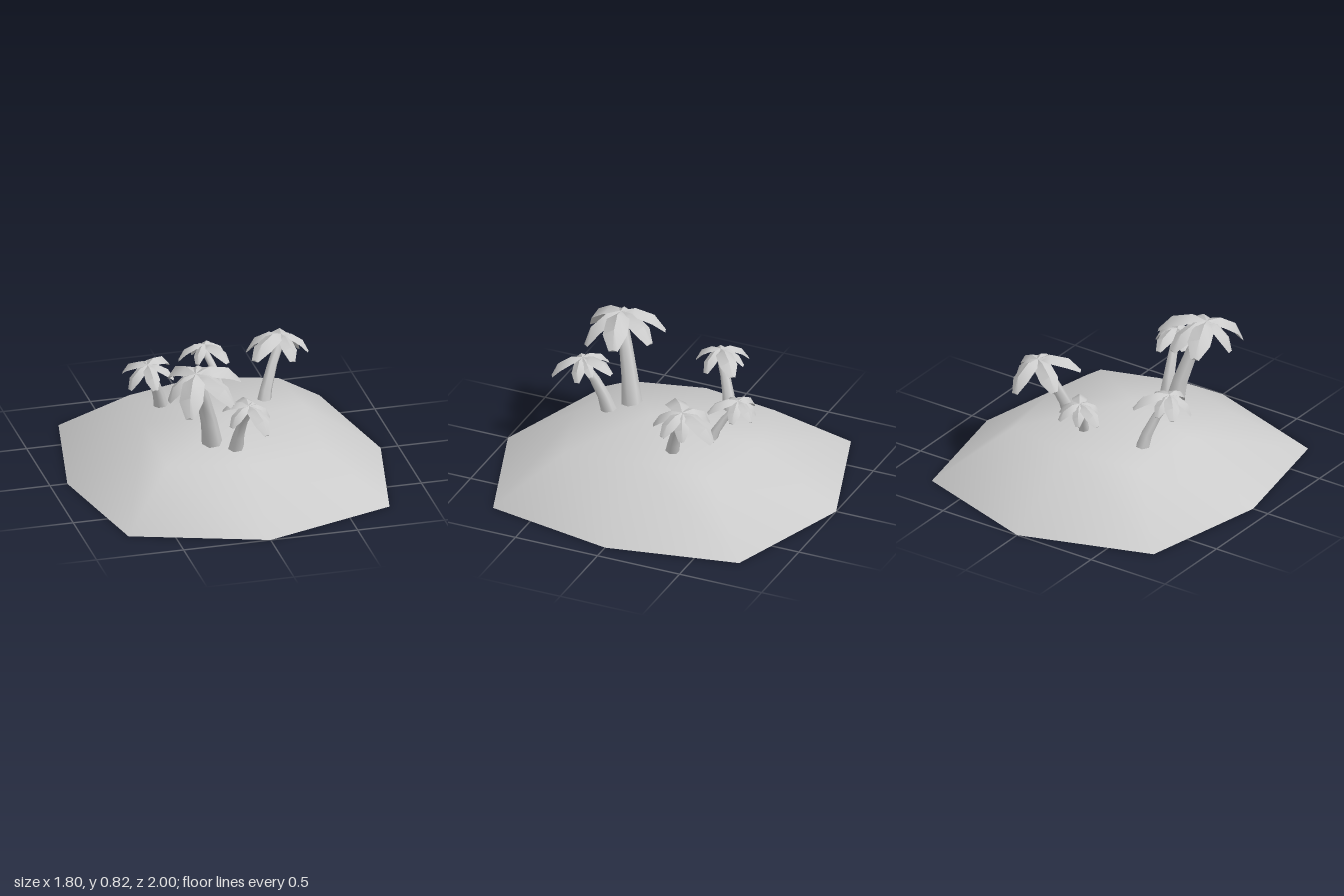
import * as THREE from 'three';
import { toCreasedNormals } from 'three/addons/utils/BufferGeometryUtils.js';

const material = new THREE.MeshStandardMaterial({ color: 0xcccccc, side: THREE.DoubleSide });

// Skin equal-length closed loops of points; optionally cap both ends with fans.
function skin(loops, capped = false) {
  const n = loops[0].length, index = [];
  for (let i = 0; i < loops.length - 1; i++) {
    for (let j = 0; j < n; j++) {
      const a = i * n + j, b = i * n + (j + 1) % n;
      index.push(a, a + n, b, b, a + n, b + n);
    }
  }
  if (capped) {
    const e = (loops.length - 1) * n;
    for (let j = 1; j < n - 1; j++) index.push(0, j, j + 1, e, e + j + 1, e + j);
  }
  const geometry = new THREE.BufferGeometry();
  geometry.setAttribute('position', new THREE.Float32BufferAttribute(loops.flat(2), 3));
  geometry.setIndex(index);
  geometry.computeVertexNormals();
  return geometry;
}

// Open-bottomed eight-sided mound: shore ring, shoulder ring, off-centre summit
function makeIsland() {
  const shore = [[0, 0, 1], [0.75, 0, 0.75], [0.9, 0, 0], [0.75, 0, -0.75],
    [0, 0, -1], [-0.75, 0, -0.75], [-0.9, 0, 0], [-0.75, 0, 0.75]];
  const shoulder = [[0, 0.27, 0.58], [0.45, 0.257, 0.46], [0.46, 0.315, 0], [0.43, 0.29, -0.43],
    [0, 0.315, -0.51], [-0.43, 0.29, -0.43], [-0.46, 0.315, 0], [-0.45, 0.257, 0.46]];
  const geometry = skin([shore, shoulder]);
  const position = [...geometry.attributes.position.array, 0, 0.355, 0.12];
  const index = [...geometry.index.array];
  // reverse the side winding so it faces outward, then fan to the summit
  for (let i = 0; i < index.length; i += 3) [index[i + 1], index[i + 2]] = [index[i + 2], index[i + 1]];
  for (let j = 0; j < 8; j++) index.push(8 + j, 8 + (j + 1) % 8, 16);
  geometry.setAttribute('position', new THREE.Float32BufferAttribute(position, 3));
  geometry.deleteAttribute('normal');
  geometry.setIndex(index);
  orient(geometry, new THREE.Vector3(0, 0, 0));
  geometry.computeVertexNormals();
  const mesh = new THREE.Mesh(geometry, material);
  mesh.name = 'island';
  return mesh;
}

// Turn every face of a convex-like shape away from an inner point.
function orient(geometry, centre) {
  const p = geometry.attributes.position, ix = geometry.index;
  const t = new THREE.Triangle(), n = new THREE.Vector3(), m = new THREE.Vector3();
  for (let i = 0; i < ix.count; i += 3) {
    t.setFromAttributeAndIndices(p, ix.getX(i), ix.getX(i + 1), ix.getX(i + 2));
    if (t.getNormal(n).dot(t.getMidpoint(m).sub(centre)) < 0) {
      const b = ix.getX(i + 1);
      ix.setX(i + 1, ix.getX(i + 2));
      ix.setX(i + 2, b);
    }
  }
}

// Drooping ridged blade along +x, unit length: [reach, height, half width, ridge]
function makeLeafGeometry() {
  const sections = [[-0.04, -0.03, 0.08, 0.05], [0.32, 0.0, 0.25, 0.09],
    [0.74, -0.2, 0.27, 0.1], [1, -0.55, 0.1, 0.03]];
  const loops = sections.map(([x, y, w, r]) => [
    [x + r * 0.3, y + r * 0.4, 0],
    [x - r * 0.3, y - r, w],
    [x - r * 0.7, y - r * 1.1, 0],
    [x - r * 0.3, y - r, -w],
  ]);
  const geometry = skin(loops, true);
  return toCreasedNormals(geometry, 0.8);
}

// Curved six-sided trunk, flared at the foot
function makeTrunk(base, top, radius) {
  const d = top.clone().sub(base);
  const bend = base.clone().add(new THREE.Vector3(d.x * 0.25, d.y * 0.55, d.z * 0.25));
  const curve = new THREE.QuadraticBezierCurve3(base, bend, top);
  const loops = [[0, 1], [0.3, 0.78], [0.65, 0.64], [1, 0.58]].map(([t, s]) => {
    const c = curve.getPoint(t), ring = [];
    const tilt = new THREE.Quaternion().setFromUnitVectors(
      new THREE.Vector3(0, 1, 0), curve.getTangent(t).lerp(new THREE.Vector3(0, 1, 0), 0.5).normalize());
    for (let j = 0; j < 6; j++) {
      const a = -j * Math.PI / 3;
      ring.push(new THREE.Vector3(Math.cos(a), 0, Math.sin(a))
        .multiplyScalar(radius * s).applyQuaternion(tilt).add(c).toArray());
    }
    return ring;
  });
  const geometry = skin(loops);
  // face outward
  const ix = geometry.index;
  for (let i = 0; i < ix.count; i += 3) {
    const b = ix.getX(i + 1);
    ix.setX(i + 1, ix.getX(i + 2));
    ix.setX(i + 2, b);
  }
  geometry.computeVertexNormals();
  const mesh = new THREE.Mesh(geometry, material);
  mesh.name = 'trunk';
  return mesh;
}

function makePalm(name, { base, apex, radius, leaves }, leafGeometry) {
  const palm = new THREE.Group();
  palm.name = name;
  const b = new THREE.Vector3(...base), a = new THREE.Vector3(...apex);
  palm.add(makeTrunk(b, a.clone().add(new THREE.Vector3(0, -0.035, 0)), radius));
  // crown leans a little with the trunk
  const crown = new THREE.Group();
  crown.name = 'crown';
  crown.position.copy(a);
  const lean = a.clone().sub(b);
  crown.rotation.set(lean.z * 0.9, 0, -lean.x * 0.9);
  leaves.forEach(([degrees, length], i) => {
    const leaf = new THREE.Mesh(leafGeometry, material);
    leaf.name = 'leaf';
    leaf.scale.setScalar(length);
    leaf.rotation.set(0, -degrees * Math.PI / 180, i % 2 ? -0.12 : 0.02, 'YXZ');
    crown.add(leaf);
  });
  palm.add(crown);
  return palm;
}

// Leaves are [heading in degrees from +x towards +z, length]
const palms = {
  tallPalm: {
    base: [-0.15, 0.29, 0.31], apex: [-0.28, 0.8, 0.44], radius: 0.06,
    leaves: [[-114, 0.24], [-72, 0.23], [-14, 0.26], [43, 0.24], [115, 0.25], [172, 0.19]],
  },
  frontPalm: {
    base: [-0.04, 0.29, 0.4], apex: [-0.005, 0.62, 0.55], radius: 0.045,
    leaves: [[-88, 0.17], [-5, 0.14], [68, 0.18], [150, 0.14], [-140, 0.15], [-45, 0.12]],
  },
  rightPalm: {
    base: [-0.3, 0.29, -0.22], apex: [-0.41, 0.62, -0.11], radius: 0.043,
    leaves: [[-136, 0.16], [-98, 0.14], [-43, 0.19], [15, 0.15], [90, 0.15], [155, 0.15]],
  },
  leftPalm: {
    base: [0.25, 0.26, -0.11], apex: [0.39, 0.655, -0.24], radius: 0.045,
    leaves: [[-80, 0.21], [-25, 0.15], [18, 0.16], [75, 0.17], [142, 0.22], [-148, 0.2]],
  },
  backPalm: {
    base: [0.06, 0.3, -0.26], apex: [-0.005, 0.565, -0.4], radius: 0.034,
    leaves: [[-62, 0.13], [-12, 0.13], [55, 0.16], [130, 0.12], [-165, 0.15], [-118, 0.12]],
  },
};

export function createModel() {
  const model = new THREE.Group();
  model.name = 'palmIsland';
  model.add(makeIsland());
  const leafGeometry = makeLeafGeometry();
  for (const [name, spec] of Object.entries(palms)) model.add(makePalm(name, spec, leafGeometry));
  return model;
}
